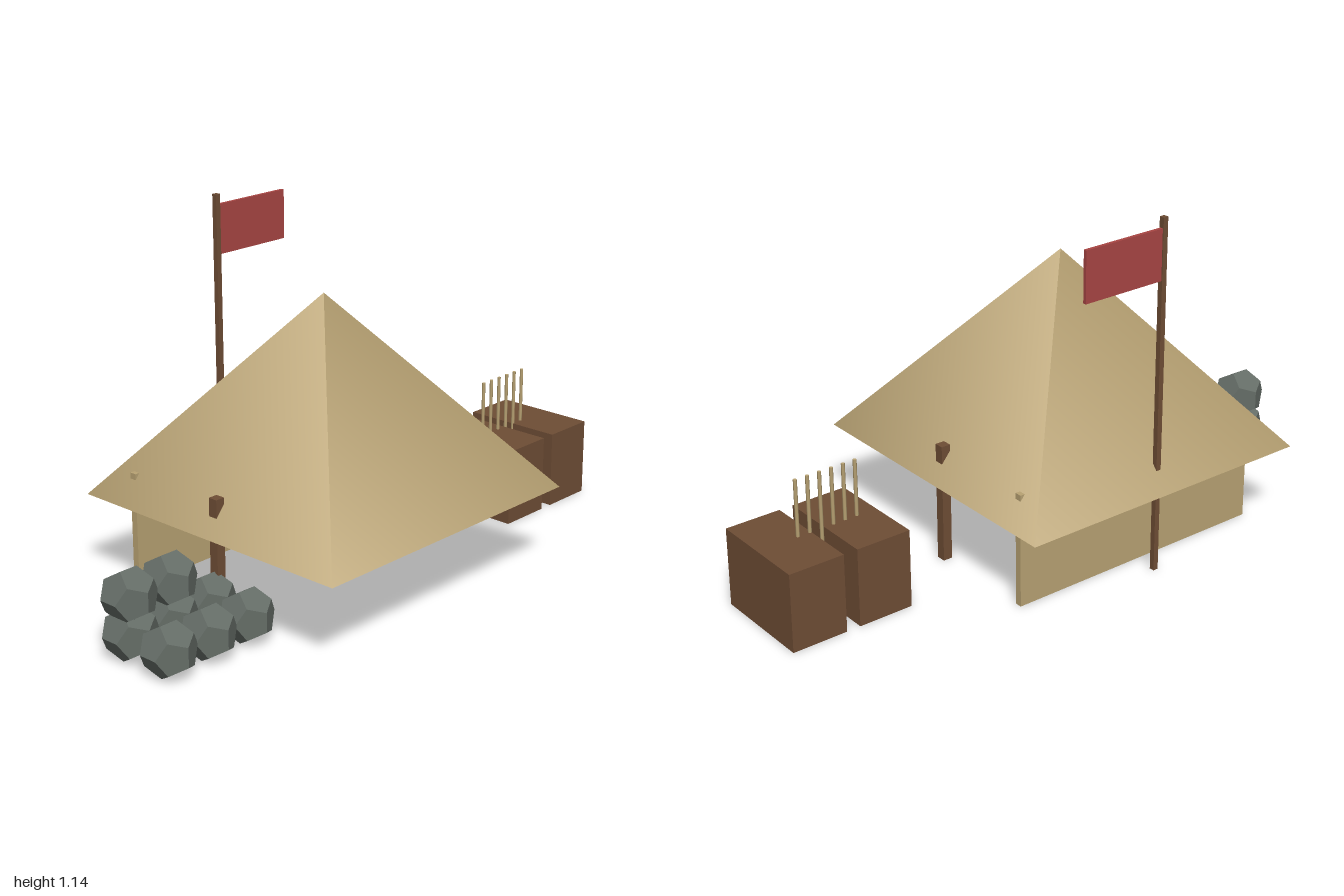
import * as THREE from 'three';

const material = (name, color, extra = {}) => {
  const m = new THREE.MeshStandardMaterial({ color, ...extra });
  m.name = name;
  return m;
};

export function createModel() {
  const canvas = material('canvas', 0xb8a273);
  const wood = material('wood', 0x6e4d35);
  const red = material('red cloth', 0xa84543);
  const stone = material('stone', 0x646c66, { flatShading: true });

  const model = new THREE.Group();
  model.name = 'camp';
  const add = (name, geometry, mat, x, y, z) => {
    const mesh = new THREE.Mesh(geometry, mat);
    mesh.name = name;
    mesh.position.set(x, y, z);
    model.add(mesh);
    return mesh;
  };
  // Box given by its bottom height
  const box = (name, mat, w, h, d, x, bottom, z) =>
    add(name, new THREE.BoxGeometry(w, h, d), mat, x, bottom + h / 2, z);

  const tentX = -0.12;

  // Tent: four-sided roof, back wall and two side posts
  const roof = new THREE.ConeGeometry(0.515 * Math.SQRT2, 0.633, 4);
  add('roof', roof, canvas, tentX, 0.28 + 0.633 / 2, 0).rotation.y = Math.PI / 4;
  box('backWall', canvas, 0.915, 0.37, 0.023, tentX, 0, -0.366);
  for (const side of [-1, 1]) {
    box('post', wood, 0.031, 0.39, 0.031, tentX + side * 0.457, 0, 0);
  }

  // Flag on its pole behind the tent
  box('flagPole', wood, 0.017, 1.143, 0.017, tentX, 0, -0.457);
  box('flag', red, 0.286, 0.16, 0.011, 0.029, 0.95, -0.457);

  // Two crates with a row of spear shafts between them
  for (const x of [0.678, 0.907]) box('crate', wood, 0.183, 0.255, 0.343, x, 0, 0);
  const shaft = new THREE.CylinderGeometry(0.006, 0.006, 0.28, 6);
  for (let i = 0; i < 6; i++) add('spearShaft', shaft, canvas, 0.655 + i * 0.041, 0.3, 0);

  // Rock pile: two rows of three below, two on top of the rear row
  const rock = new THREE.DodecahedronGeometry(0.086);
  for (let i = 0; i < 3; i++) {
    const x = -0.92 + i * 0.152;
    add('rock', rock, stone, x, 0.081, 0);
    add('rock', rock, stone, x, 0.081, 0.16);
    if (i < 2) add('rock', rock, stone, x, 0.197, 0);
  }
  return model;
}
